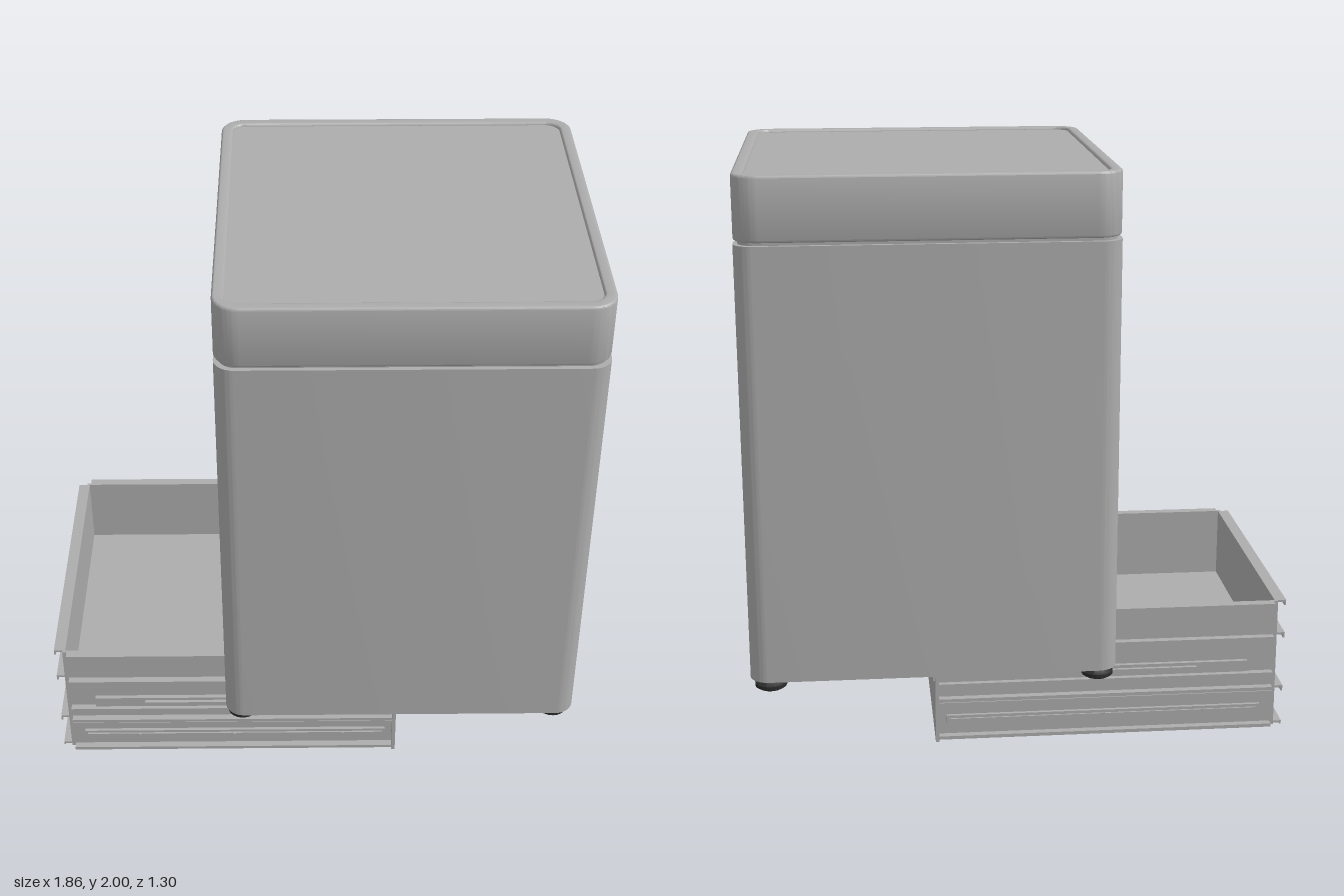
import * as THREE from 'three';
import { toCreasedNormals } from 'three/addons/utils/BufferGeometryUtils.js';

const steel = new THREE.MeshStandardMaterial({ color: 0xacacac });
steel.name = 'steelGrey';
const blue = new THREE.MeshStandardMaterial({ color: 0x1f55cc });
blue.name = 'accentBlue';
const black = new THREE.MeshStandardMaterial({ color: 0x2b2b2b });
black.name = 'rubberBlack';

// Cabinet footprint
const X0 = -0.32, X1 = 0.925, Z = 0.65, CX = (X0 + X1) / 2;

function add(parent, name, geometry, material) {
  const m = new THREE.Mesh(geometry, material);
  m.name = name;
  parent.add(m);
  return m;
}

// Box given by its extents on each axis
function block(parent, name, x, y, z, material = steel) {
  const g = new THREE.BoxGeometry(x[1] - x[0], y[1] - y[0], z[1] - z[0]);
  g.translate((x[0] + x[1]) / 2, (y[0] + y[1]) / 2, (z[0] + z[1]) / 2);
  return add(parent, name, g, material);
}

// Rounded rectangle of the footprint, moved inwards by inset
function footprint(inset, r, path = new THREE.Shape()) {
  const a = X0 + inset, b = X1 - inset, c = Z - inset, q = Math.PI / 2;
  path.moveTo(a + r, -c);
  path.absarc(b - r, -c + r, r, -q, 0);
  path.absarc(b - r, c - r, r, 0, q);
  path.absarc(a + r, c - r, r, q, 2 * q);
  path.absarc(a + r, -c + r, r, 2 * q, 3 * q);
  path.closePath();
  return path;
}

// Footprint with a recess in the +x side for the drawers
function bodyShape() {
  const s = new THREE.Shape(), r = 0.065, q = Math.PI / 2;
  s.moveTo(X0 + r, -Z);
  s.absarc(X1 - r, -Z + r, r, -q, 0);
  s.absarc(X1 - 0.02, -0.55, 0.02, 0, q);
  s.lineTo(X1 - 0.07, -0.53);
  s.lineTo(X1 - 0.07, 0.53);
  s.absarc(X1 - 0.02, 0.55, 0.02, -q, 0);
  s.absarc(X1 - r, Z - r, r, 0, q);
  s.absarc(X0 + r, Z - r, r, q, 2 * q);
  s.absarc(X0 + r, -Z + r, r, 2 * q, 3 * q);
  return s;
}

// Upright extrusion between two heights
function prism(shape, y0, y1, bevel = 0) {
  const g = new THREE.ExtrudeGeometry(shape, {
    depth: y1 - y0 - 2 * bevel, curveSegments: 10, bevelEnabled: bevel > 0,
    bevelSize: bevel, bevelThickness: bevel, bevelOffset: -bevel, bevelSegments: 3,
  });
  g.rotateX(-Math.PI / 2).translate(0, y0 + bevel, 0);
  return toCreasedNormals(g, 0.6);
}

function cabinet() {
  const g = new THREE.Group();
  g.name = 'cabinet';
  add(g, 'cabinetBody', prism(bodyShape(), 0.3, 1.778), steel);
  add(g, 'shadowGap', prism(footprint(0.015, 0.06), 1.77, 1.795), steel);

  // Worktop with a raised rim round a slightly sunken panel
  const rim = footprint(0, 0.085);
  rim.holes.push(footprint(0.04, 0.05, new THREE.Path()));
  add(g, 'worktopRim', prism(rim, 1.788, 2, 0.008), steel);
  add(g, 'worktopPanel', prism(footprint(0.02, 0.06), 1.789, 1.99), steel);

  // Drawer fronts, plinth and the blue strip
  const fronts = [[1.472, 1.715], [1.22, 1.465], [0.968, 1.213], [0.46, 0.961]];
  fronts.forEach(y => block(g, 'drawerFront', [0.85, 0.922], y, [-0.527, 0.527]));
  block(g, 'plinth', [0.85, 0.918], [0.3, 0.452], [-0.53, 0.53]);
  block(g, 'blueStrip', [0.85, 0.925], [1.716, 1.742], [-0.527, 0.527], blue);
  block(g, 'topRail', [0.84, 0.895], [1.742, 1.778], [-0.53, 0.53]);

  // Curved gussets at the top of the opening
  for (const s of [-1, 1]) {
    const c = new THREE.Shape();
    c.moveTo(s * 0.54, 1.778);
    c.lineTo(s * 0.54, 1.738);
    c.quadraticCurveTo(s * 0.525, 1.77, s * 0.49, 1.778);
    const geo = new THREE.ExtrudeGeometry(c, { depth: 0.06, bevelEnabled: false });
    geo.rotateY(Math.PI / 2).scale(1, 1, -1);
    // Mirroring flips the faces, so restore their winding
    const p = geo.attributes.position;
    for (let i = 0; i < p.count; i += 3) {
      const a = new THREE.Vector3().fromBufferAttribute(p, i);
      const b = new THREE.Vector3().fromBufferAttribute(p, i + 1);
      p.setXYZ(i, b.x, b.y, b.z);
      p.setXYZ(i + 1, a.x, a.y, a.z);
    }
    geo.computeVertexNormals();
    add(g, 'openingGusset', geo, steel).position.x = 0.86;
  }
  return g;
}

function feet() {
  const g = new THREE.Group();
  g.name = 'feet';
  const profile = [[0, 0.25], [0.042, 0.25], [0.054, 0.258], [0.054, 0.27], [0.03, 0.28],
    [0.024, 0.286], [0.024, 0.302], [0, 0.302]].map(p => new THREE.Vector2(...p));
  for (const x of [-0.26, 0.858]) for (const z of [-0.565, 0.565]) {
    const foot = add(g, 'foot', toCreasedNormals(new THREE.LatheGeometry(profile, 20), 0.6), black);
    foot.position.set(x, 0, z);
  }
  return g;
}

// Two stacked trays pulled out under the cabinet
function trays() {
  const g = new THREE.Group();
  g.name = 'trays';
  const back = -0.905, front = 0.285;
  block(g, 'lowerFloor', [back, front], [0.004, 0.012], [-0.5, 0.5]);
  block(g, 'upperFloor', [back, front], [0.205, 0.213], [-0.5, 0.5]);
  block(g, 'backWall', [back, back + 0.01], [0.004, 0.465], [-0.5, 0.5]);
  block(g, 'trayFront', [front, 0.298], [0, 0.455], [-0.53, 0.53]);
  for (const y of [0.472, 0.35, 0.148, 0.012]) {
    block(g, 'backFlange', [-0.932, back + 0.01], [y - 0.008, y], [-0.49, 0.49]);
    block(g, 'backLip', [-0.936, -0.93], [Math.max(0, y - 0.02), y], [-0.49, 0.49]);
  }
  for (const s of [-1, 1]) {
    const zr = (a, b) => s > 0 ? [a, b] : [-b, -a];
    block(g, 'sideWall', [back, front], [0.004, 0.472], zr(0.49, 0.5));

    // Folded ribs along the side
    for (const y of [0.466, 0.342, 0.208, 0.152, 0.138, 0.012])
      block(g, 'sideRib', [-0.89, front], [y - 0.006, y + 0.006], zr(0.495, 0.525));

    // Runners: a channel with a slimmer slide
    block(g, 'upperRunner', [-0.8, 0.298], [0.218, 0.258], zr(0.498, 0.515));
    block(g, 'upperSlide', [-0.62, 0.305], [0.229, 0.247], zr(0.51, 0.527));
    block(g, 'lowerRunner', [-0.85, 0.26], [0.06, 0.09], zr(0.498, 0.512));
    block(g, 'lowerSlide', [-0.84, 0.25], [0.07, 0.08], zr(0.508, 0.518));
    for (const x of [-0.65, -0.3, 0.1]) {
      const screw = add(g, 'screw', new THREE.CylinderGeometry(0.008, 0.008, 0.006, 12), steel);
      screw.rotation.x = Math.PI / 2;
      screw.position.set(x, 0.075, s * 0.52);
    }
  }
  return g;
}

export function createModel() {
  const model = new THREE.Group();
  model.name = 'drawerCabinet';
  model.add(cabinet(), feet(), trays());
  return model;
}
